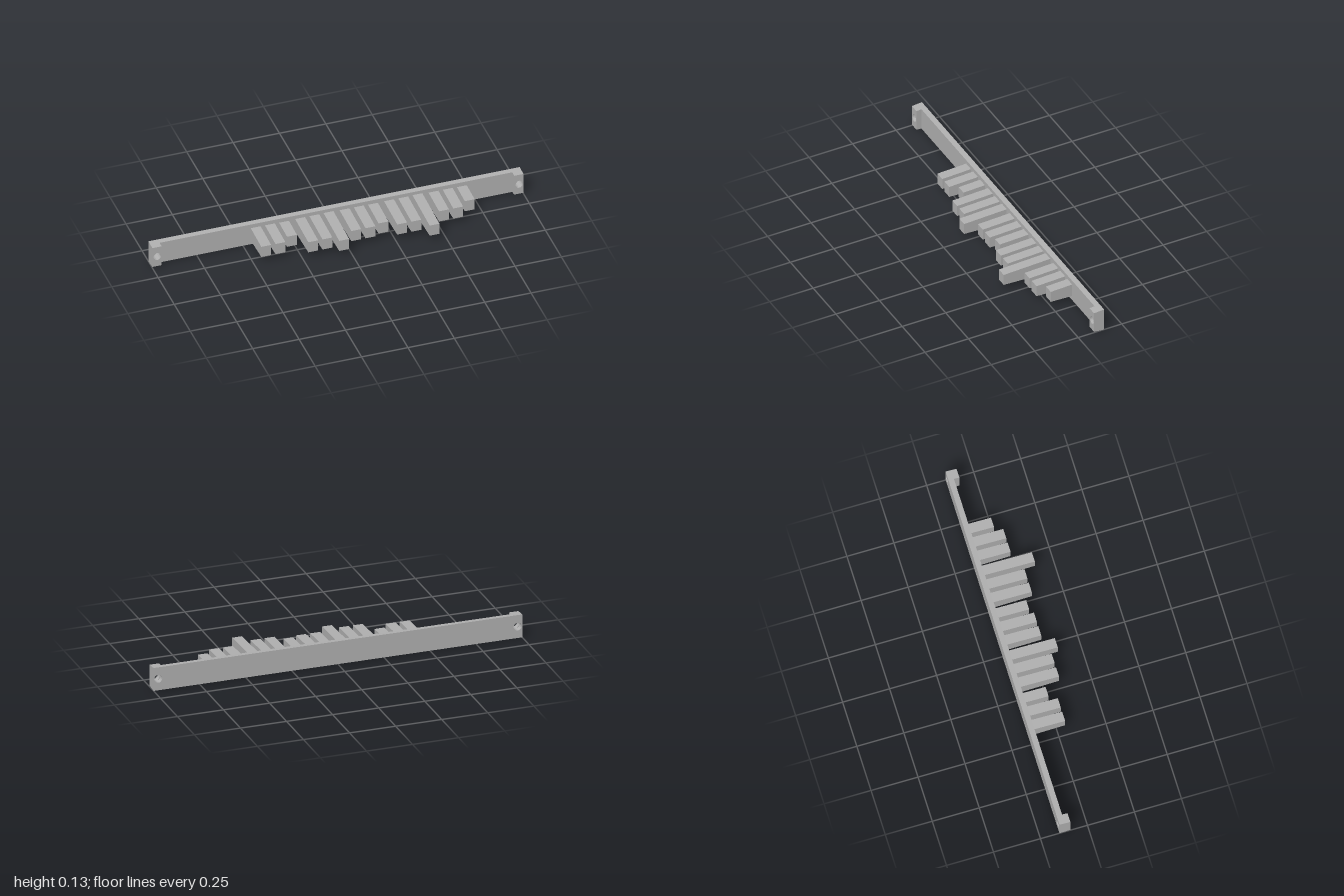
import * as THREE from 'three';

const BACK = -0.149, FACE = -0.12, TAB = -0.091;
const MID = 0.0635, HOLE_X = 0.975, HOLE_R = 0.022;

// Rectangular slab with round holes, drafted so it narrows in height towards +z
function draftedSlab(x0, x1, z0, z1, mid, halfBack, halfFront, holes = []) {
  const s = new THREE.Shape();
  s.moveTo(x0, -1).lineTo(x1, -1).lineTo(x1, 1).lineTo(x0, 1).closePath();
  // holes are drawn in real units around y = 0, the outline at +-1 is moved to size below
  for (const hx of holes) s.holes.push(new THREE.Path().absarc(hx, 0, HOLE_R, 0, Math.PI * 2, true));
  const g = new THREE.ExtrudeGeometry(s, { depth: z1 - z0, bevelEnabled: false, curveSegments: 8 });
  const p = g.attributes.position;
  for (let i = 0; i < p.count; i++) {
    const t = p.getZ(i) / (z1 - z0);
    const half = THREE.MathUtils.lerp(halfBack, halfFront, t);
    const y = p.getY(i);
    p.setY(i, mid + (Math.abs(y) > 0.9 ? Math.sign(y) * half : y));
    p.setZ(i, p.getZ(i) + z0);
  }
  g.computeVertexNormals();
  return g;
}

export function createModel() {
  const group = new THREE.Group();
  const grey = new THREE.MeshStandardMaterial({ color: 0xb0b0b0 });
  grey.name = 'plain grey';
  const add = (name, geometry) => {
    const m = new THREE.Mesh(geometry, grey);
    m.name = name;
    group.add(m);
  };
  const plateHalf = z => THREE.MathUtils.mapLinear(z, BACK, TAB, 0.0635, 0.0588);

  // Long backing bar with a screw hole at each end
  add('bar', draftedSlab(-1, 1, BACK, FACE, MID, plateHalf(BACK), plateHalf(FACE), [-HOLE_X, HOLE_X]));

  // Raised mounting pads at both ends
  for (const [name, x0, x1] of [['rightPad', -1, -0.95], ['leftPad', 0.95, 1]])
    add(name, draftedSlab(x0, x1, FACE, TAB, MID, plateHalf(FACE), plateHalf(TAB), [(x0 + x1) / 2]));

  // Five groups of three teeth, listed by the z of their tips
  const tips = [
    [0.045, 0.045, 0.003],
    [0.085, 0.085, 0.125],
    [0.063, 0.063, 0.045],
    [0.085, 0.085, 0.148],
    [0.045, 0.045, 0.003],
  ];
  tips.forEach((row, g) => row.forEach((tip, i) => {
    const x = -0.433 + 0.2395 * g + 0.0765 * i, w = 0.0265;
    const tipHalf = 0.0315;
    add(`tooth${g * 3 + i + 1}`,
      draftedSlab(x - w, x + w, FACE, tip, 0.0645, tipHalf + 0.04 * (tip - FACE), tipHalf));
  }));

  return group;
}
